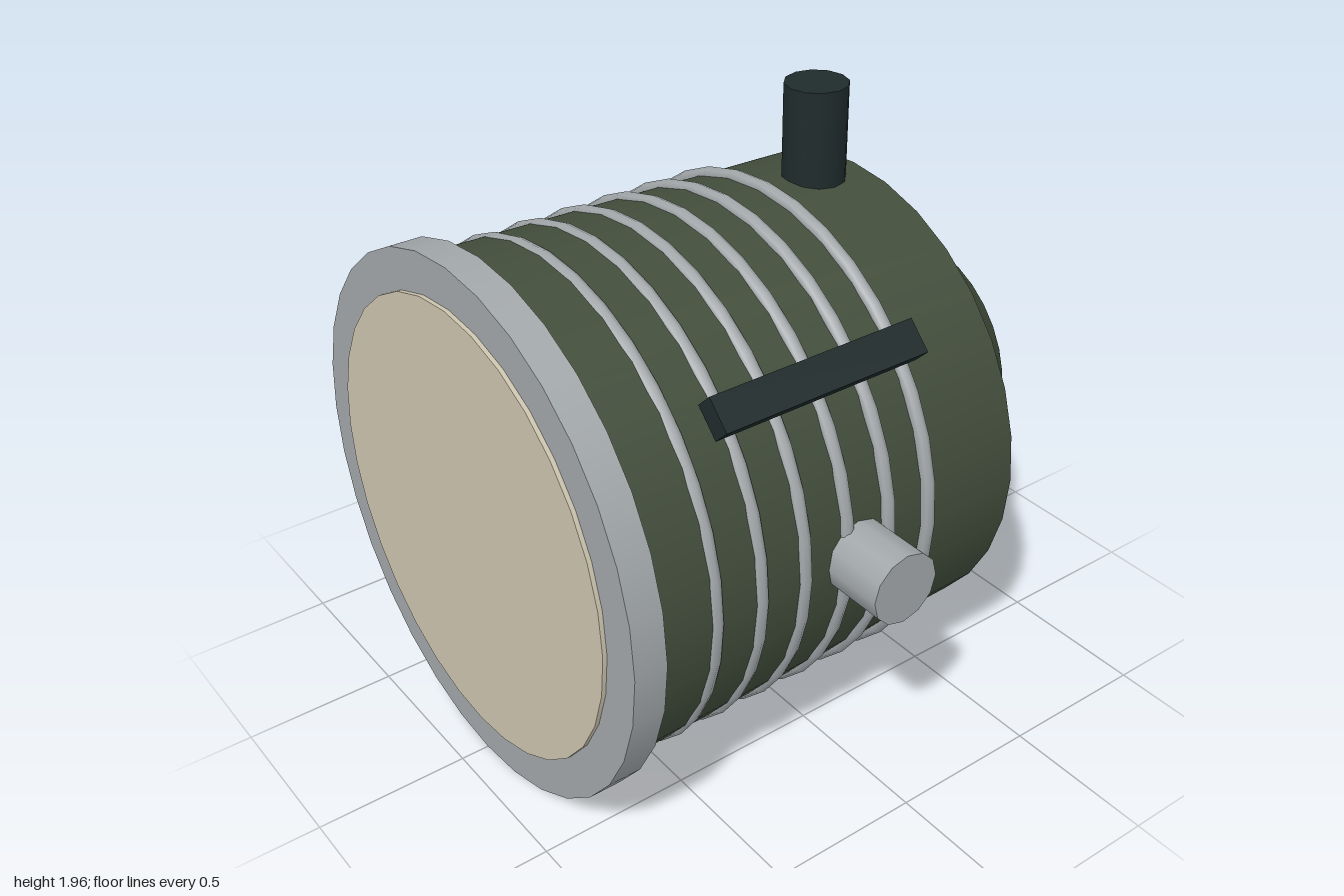
import * as THREE from 'three';

const CY = 0.87; // height of the drum axis

const mat = (name, color) => {
  const m = new THREE.MeshStandardMaterial({ color });
  m.name = name;
  return m;
};

export function createModel() {
  const green = mat('olive green', 0x434e3c);
  const steel = mat('steel grey', 0xa2a7aa);
  const cream = mat('cream lens', 0xccc4ae);
  const dark = mat('dark slate', 0x1f2b2c);
  const model = new THREE.Group();

  const add = (name, geometry, material, x = 0, y = CY, z = 0) => {
    const mesh = new THREE.Mesh(geometry, material);
    mesh.name = name;
    mesh.position.set(x, y, z);
    model.add(mesh);
    return mesh;
  };

  // Cylinder along z from z0 (radius r0) to z1 (radius r1)
  const drum = (name, material, z0, r0, z1, r1) =>
    add(name, new THREE.CylinderGeometry(r1, r0, z1 - z0, 32).rotateX(Math.PI / 2),
      material, 0, CY, (z0 + z1) / 2);

  // Housing, tapered back, front rim and lens
  drum('housing', green, -0.56, 0.79, 0.81, 0.815);
  drum('backCone', green, -0.92, 0.395, -0.555, 0.738);
  drum('frontRim', steel, 0.8, 0.865, 0.906, 0.865);
  drum('lens', cream, 0.85, 0.735, 0.92, 0.735);

  // Cooling ribs around the housing
  for (let i = 0; i < 6; i++) {
    add('rib', new THREE.TorusGeometry(0.797, 0.024, 8, 36), steel, 0, CY, 0.59 - i * 0.158);
  }

  // Side pivots
  for (const side of [-1, 1]) {
    add('pivot', new THREE.CylinderGeometry(0.116, 0.116, 0.3, 12).rotateZ(Math.PI / 2),
      steel, side * 0.85, CY, 0.07);
  }

  // Chimney on top, towards the back
  add('chimney', new THREE.CylinderGeometry(0.102, 0.102, 0.335, 12), dark, 0, 1.798, -0.397);

  // Tilted bar on the upper left shoulder
  const bar = add('sideBar', new THREE.BoxGeometry(0.11, 0.07, 0.725), dark, 0.655, 1.422, 0.13);
  bar.rotation.z = -Math.PI / 4;

  return model;
}
